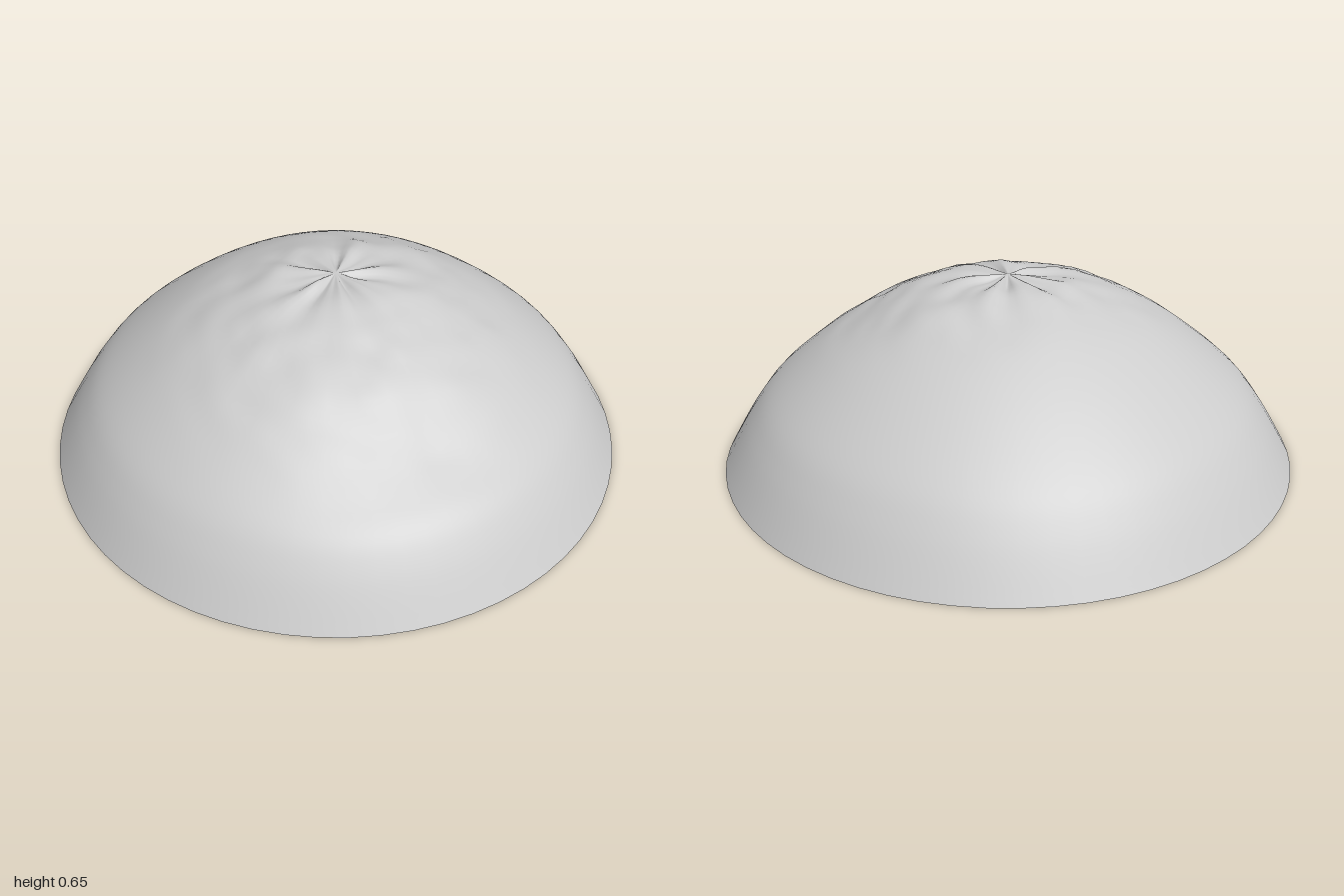
import * as THREE from 'three';
import { mergeVertices } from 'three/addons/utils/BufferGeometryUtils.js';

const RINGS = 48, SIDES = 64;
const smooth = THREE.MathUtils.smoothstep;

// Seeded lattice value in -1..1, and smooth noise made from it
function lattice(i, j) {
  const s = Math.sin(i * 127.1 + j * 311.7 + 17.3) * 43758.5453;
  return (s - Math.floor(s)) * 2 - 1;
}
function noise(x, z) {
  const i = Math.floor(x), j = Math.floor(z);
  const u = smooth(x - i, 0, 1), v = smooth(z - j, 0, 1);
  const a = THREE.MathUtils.lerp(lattice(i, j), lattice(i + 1, j), u);
  const b = THREE.MathUtils.lerp(lattice(i, j + 1), lattice(i + 1, j + 1), u);
  return THREE.MathUtils.lerp(a, b, v);
}

// Height added to the smooth dome: lumps, a shallow front slump and summit creases
function relief(x, z) {
  const r = Math.hypot(x, z), angle = Math.atan2(z, x);
  const reach = 0.7 + 0.18 * (r > 0 ? z / r : 0);
  const rough = 1 - smooth(r, reach - 0.35, reach);
  const lumps = 0.011 * noise(x * 6, z * 6) + 0.007 * noise(x * 14 + 5, z * 14);
  const slump = -0.045 * Math.exp(-(x * x) / 0.15 - ((z - 0.64) ** 2) / 0.03);
  const creases = 0.008 * smooth(r, 0, 0.08) * (1 - smooth(r, 0.1, 0.35))
    * (Math.sin(angle * 7 + 1) + 0.6 * Math.sin(angle * 12));
  return rough * lumps + slump * (1 - smooth(r, 0.75, 0.95)) + creases;
}

export function createModel() {
  const group = new THREE.Group();
  group.name = 'moundModel';
  const stone = new THREE.MeshStandardMaterial({ color: 0xcccccc, side: THREE.DoubleSide });
  stone.name = 'pale grey';

  // Dome profile from rim to summit
  const profile = new THREE.SplineCurve([
    [1, 0], [0.9, 0.168], [0.8, 0.287], [0.6, 0.445], [0.4, 0.562], [0.2, 0.628], [0, 0.652],
  ].map(([r, y]) => new THREE.Vector2(r, y)));
  const points = profile.getSpacedPoints(RINGS);
  points[RINGS].x = 0;

  // Open shell, roughened towards the top
  let shell = new THREE.LatheGeometry(points, SIDES);
  shell.deleteAttribute('uv');
  shell.deleteAttribute('normal');
  shell = mergeVertices(shell, 1e-5);
  const p = shell.attributes.position;
  for (let i = 0; i < p.count; i++) {
    if (p.getY(i) > 0.001) p.setY(i, p.getY(i) + relief(p.getX(i), p.getZ(i)));
  }
  shell.computeVertexNormals();

  const dome = new THREE.Mesh(shell, stone);
  dome.name = 'domeShell';
  group.add(dome);
  return group;
}
